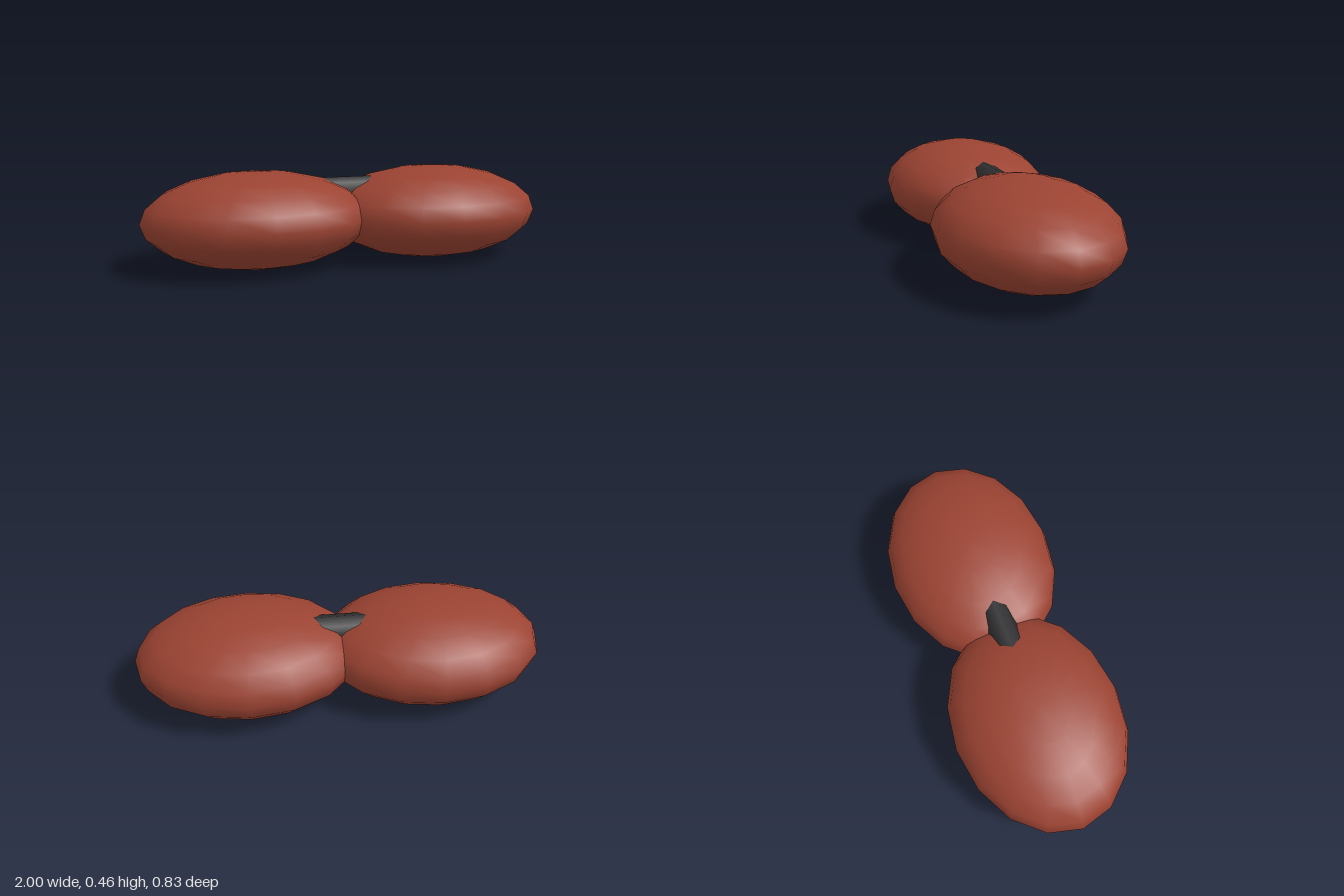
import * as THREE from 'three';

export function createModel() {
  const model = new THREE.Group();
  model.name = 'twinLobes';

  const red = new THREE.MeshStandardMaterial({ color: 0x9b4332 });
  red.name = 'brick red';
  const dark = new THREE.MeshStandardMaterial({ color: 0x2e2e30 });
  dark.name = 'charcoal';

  // Two flattened lobes meeting in the middle
  const lobeGeometry = new THREE.SphereGeometry(1, 16, 10).scale(0.55, 0.231, 0.413);
  for (const [name, side] of [['leftLobe', 1], ['rightLobe', -1]]) {
    const lobe = new THREE.Mesh(lobeGeometry, red);
    lobe.name = name;
    lobe.position.set(side * 0.45, 0.233, 0);
    model.add(lobe);
  }

  // Short round bar sunk into both lobes
  const barGeometry = new THREE.CylinderGeometry(0.074, 0.074, 0.4, 8).rotateZ(Math.PI / 2);
  const bar = new THREE.Mesh(barGeometry, dark);
  bar.name = 'connectingBar';
  bar.position.y = 0.346;
  model.add(bar);

  return model;
}
